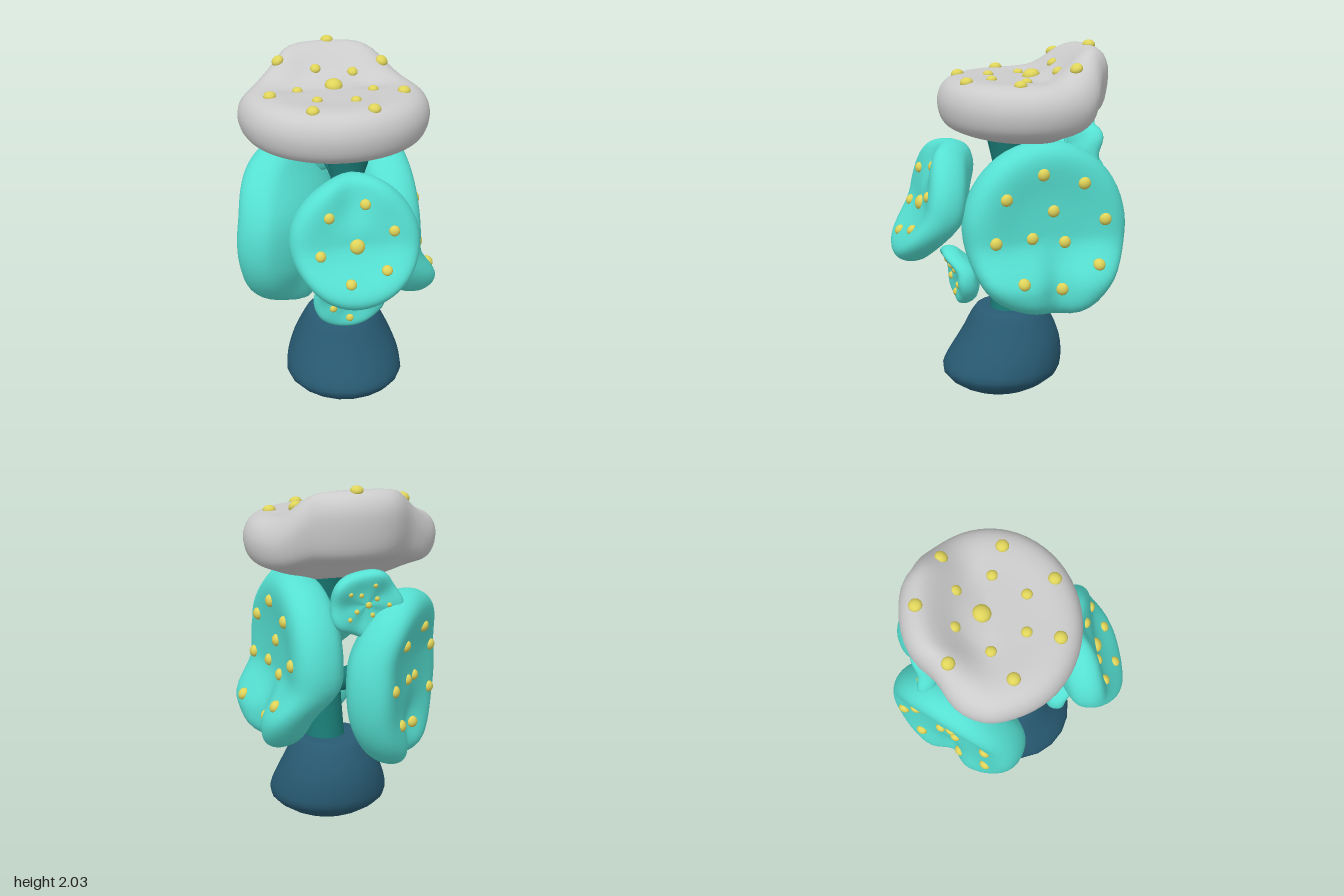
import * as THREE from 'three';
import { mergeVertices } from 'three/addons/utils/BufferGeometryUtils.js';

const mat = (color) => new THREE.MeshStandardMaterial({ color, side: THREE.DoubleSide });
const V = (x, y, z) => new THREE.Vector3(x, y, z);
const step = THREE.MathUtils.smoothstep;
const bell = (x, width) => Math.exp(-((x / width) ** 2));
const spline = (points) => new THREE.SplineCurve(points.map((p) => new THREE.Vector2(...p)));

const tealMat = mat(0x55e0d2);
const stemMat = mat(0x1a7d78);
const bumpMat = mat(0xdfd45a);

// Smooth closed surface from fn(u, v): u runs round, v from pole to pole
function loft(fn, nu, nv) {
  const pos = [], index = [];
  for (let j = 0; j <= nv; j++) {
    for (let i = 0; i < nu; i++) pos.push(...fn((i / nu) * Math.PI * 2, j / nv));
  }
  for (let j = 0; j < nv; j++) {
    for (let i = 0; i < nu; i++) {
      const a = j * nu + i, c = j * nu + (i + 1) % nu;
      index.push(a, a + nu, c, c, a + nu, c + nu);
    }
  }
  let geo = new THREE.BufferGeometry();
  geo.setAttribute('position', new THREE.Float32BufferAttribute(pos, 3));
  geo.setIndex(index);
  geo = mergeVertices(geo, 1e-5);
  geo.computeVertexNormals();
  return geo;
}

// Cap section in units of its radius, from top centre round the rim to the underside
const capProfile = spline([[0, 0], [0.4, 0], [0.75, 0.01], [0.93, -0.07], [1, -0.25],
  [0.95, -0.46], [0.8, -0.57], [0.45, -0.67], [0, -0.72]]);

// Cap facing `normal`, warped by `bend` and `rim`, with rings of bumps
// given as [count, ring radius, start angle in degrees, bump radius]
function makeCap({ name, material, center, normal, up, size, bend, rim, rings }) {
  const group = new THREE.Group();
  group.name = name;
  const [sx, sy] = size, s = (sx + sy) / 2;
  const geo = loft((a, v) => {
    const p = capProfile.getPoint(v);
    const k = Math.max(0, p.x) * (1 + rim(a) * step(p.x, 0.2, 1));
    const x = k * Math.cos(a), y = k * Math.sin(a);
    return [x * sx, y * sy, (p.y + bend(x, y, a, k, p.y)) * s];
  }, 56, 36);
  const cap = new THREE.Mesh(geo, material);
  cap.name = name + 'Body';
  group.add(cap);

  // Bumps dropped on to the face
  const ray = new THREE.Raycaster();
  for (const [count, radius, start, r] of rings) {
    for (let i = 0; i < count; i++) {
      const a = THREE.MathUtils.degToRad(start + (360 * i) / count);
      // The tiny offset keeps rays off the seams between triangles
      ray.set(V(radius * Math.cos(a) + 0.001, radius * Math.sin(a) + 0.0007, 3), V(0, 0, -1));
      const [hit] = ray.intersectObject(cap);
      const bump = new THREE.Mesh(new THREE.SphereGeometry(r, 16, 12), bumpMat);
      bump.name = 'bump';
      bump.scale.z = 0.75;
      bump.position.copy(hit.point);
      bump.quaternion.setFromUnitVectors(V(0, 0, 1), hit.face.normal);
      group.add(bump);
    }
  }
  const right = up.clone().cross(normal).normalize();
  group.quaternion.setFromRotationMatrix(
    new THREE.Matrix4().makeBasis(right, normal.clone().cross(right), normal));
  group.position.copy(center);
  return group;
}

// Upright cap with a branch from the stem to its underside
function makeSideCap(name, center, direction, size, rings, bend, rim) {
  const normal = direction.normalize();
  const group = new THREE.Group();
  group.name = name + 'WithBranch';
  group.add(makeCap({
    name, material: tealMat, center, normal, up: V(0, 1, 0), size, bend, rim, rings,
  }));
  const end = center.clone().addScaledVector(normal, -0.62 * size[0]);
  const start = V(0.03, end.y - 0.12, 0);
  const dir = end.clone().sub(start);
  const branch = new THREE.Mesh(
    new THREE.CylinderGeometry(0.2 * size[0], 0.05, dir.length(), 12), stemMat);
  branch.name = 'branch';
  branch.position.copy(start).addScaledVector(dir, 0.5);
  branch.quaternion.setFromUnitVectors(V(0, 1, 0), dir.normalize());
  group.add(branch);
  return group;
}

export function createModel() {
  const model = new THREE.Group();
  model.name = 'mushroomCoral';

  // Rounded rock base, leaning forward towards its foot
  const baseProfile = spline([[0, 0.51], [0.17, 0.51], [0.21, 0.49], [0.25, 0.42], [0.3, 0.31],
    [0.335, 0.2], [0.33, 0.12], [0.22, 0.04], [0.11, 0.012], [0, 0]]);
  const base = new THREE.Mesh(loft((a, v) => {
    const { x: r, y } = baseProfile.getPoint(v);
    return [0.017 + r * Math.cos(a), y, 0.07 * (1 - step(y, 0.05, 0.4)) - r * Math.sin(a)];
  }, 20, 24), mat(0x285a72));
  base.name = 'base';
  model.add(base);

  // Central stem, flaring under the top cap
  const stemProfile = spline([[0.12, 0.45], [0.1, 0.65], [0.08, 1], [0.09, 1.3], [0.14, 1.53]]);
  const stem = new THREE.Mesh(new THREE.LatheGeometry(stemProfile.getPoints(12), 16), stemMat);
  stem.name = 'stem';
  stem.position.set(0.045, 0, 0.01);
  model.add(stem);

  // Grey top cap: back lobe lifted, less so underneath, with a notch and a corner on one side
  model.add(makeCap({
    name: 'topCap', material: mat(0xcccccc), center: V(-0.01, 1.83, -0.075),
    normal: V(0, 1, 0), up: V(0, 0, -1), size: [0.53, 0.475],
    rings: [[1, 0.05, 90, 0.05], [6, 0.21, 52, 0.03], [7, 0.38, 87, 0.036]],
    bend: (x, y, a, k, h) => 0.34 * step(y, 0.02, 0.8) * (1 - step(Math.abs(x), 0.4, 0.92))
      * (1 - 0.55 * step(-h, 0.2, 0.57))
      - 0.05 * step(y, -0.1, 0.3) * step(k, 0.1, 0.4) * (1 - step(k, 0.4, 0.8)),
    rim: (a) => 0.03 * bell(a - 2.95, 0.25) - 0.09 * bell(a - 2.27, 0.25)
      - 0.04 * bell(a - 1.0, 0.15),
  }));

  // Teal caps around the stem
  model.add(makeSideCap('frontCap', V(0, 1.165, 0.51), V(0, 0.17, 0.98), [0.355, 0.355],
    [[1, 0.02, 270, 0.042], [6, 0.21, 15, 0.03]],
    (x, y, a, k) => 0.3 * step(-y, 0, 0.9) + 0.06 * k * k
      - 0.16 * step(y, 0.1, 0.8) * bell(x, 0.3),
    (a) => 0.015 * Math.cos(4 * a + 0.6)));

  model.add(makeSideCap('lowerFrontCap', V(0, 0.705, 0.32), V(0, -0.12, 1), [0.205, 0.17],
    [[1, 0.03, 90, 0.02], [5, 0.1, 270, 0.022]],
    (x, y, a, k) => 0.12 * k * k + 0.25 * step(y, 0.2, 0.9) + 0.02 * k * Math.cos(5 * a),
    (a) => 0.02 * Math.cos(3 * a)));

  model.add(makeSideCap('leftCap', V(0.375, 1.035, -0.135), V(0.99, 0.02, -0.07), [0.47, 0.485],
    [[3, 0.11, 80, 0.034], [8, 0.32, 8, 0.035]],
    (x, y, a, k) => 0.06 * k * k + 0.26 * step(-y, 0.1, 0.65)
      - 0.16 * step(-y, 0.1, 0.7) * bell(x - 0.05, 0.2),
    (a) => 0.025 * Math.cos(5 * a - 0.4) * step(-Math.sin(a), -0.3, 0.5)));

  model.add(makeSideCap('rightBackCap', V(-0.335, 0.93, -0.38), V(-0.76, 0, -0.65), [0.42, 0.5],
    [[2, 0.05, 0, 0.03], [7, 0.29, 25, 0.033]],
    (x, y, a, k) => 0.05 * k * k + 0.14 * step(y, 0.2, 0.9) + 0.06 * step(-y, 0.3, 0.9)
      - 0.14 * step(-y, 0.1, 0.7) * bell(x, 0.2),
    (a) => 0.02 * Math.cos(3 * a + 0.5)));

  model.add(makeSideCap('smallBackCap', V(-0.04, 1.39, -0.48), V(0, -0.1, -1), [0.2, 0.19],
    [[1, 0.01, 0, 0.018], [4, 0.065, 30, 0.014], [5, 0.12, 0, 0.013]],
    (x, y, a, k) => 0.16 * k * k + 0.05 * k * Math.cos(5 * a),
    (a) => 0.05 * Math.cos(5 * a + 0.3)));

  return model;
}
